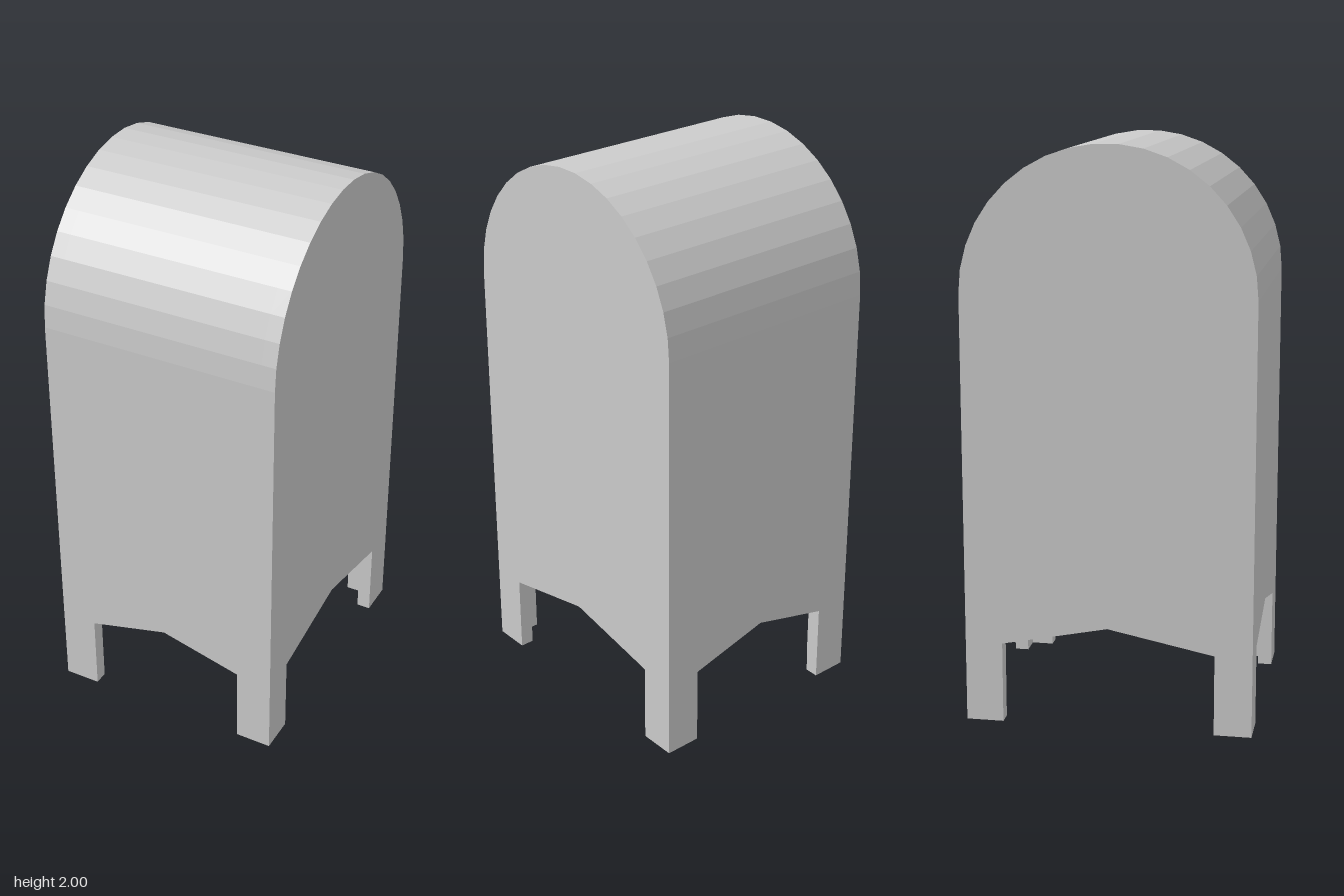
import * as THREE from 'three';

const HALF_X = 0.425, HALF_Z = 0.5, WALL = 0.05;
const SPRING = 1.502;            // height where the rounded top begins
const ARCH_SEGMENTS = 19;
const LEG = 0.13, LEG_TOP = 0.285, FLOOR = 0.36;

const material = new THREE.MeshStandardMaterial({ color: 0xcccccc, flatShading: true });

// Half-circle points from the right spring point over to the left one
function archPoints() {
  return Array.from({ length: ARCH_SEGMENTS + 1 }, (_, i) => {
    const a = (i / ARCH_SEGMENTS) * Math.PI;
    return new THREE.Vector2(HALF_Z * Math.cos(a), SPRING + HALF_Z * Math.sin(a));
  });
}

// Lower outline with two legs and a peaked cut-out, left to right
function legOutline(half, inner) {
  return [[-half, 0], [-inner, 0], [-inner, LEG_TOP], [0, FLOOR], [inner, LEG_TOP], [inner, 0], [half, 0]]
    .map(([x, y]) => new THREE.Vector2(x, y));
}

// Extrudes an outline and centres its thickness on the origin
function panel(points, depth) {
  const geometry = new THREE.ExtrudeGeometry(new THREE.Shape(points), { depth, bevelEnabled: false });
  return geometry.translate(0, 0, -depth / 2);
}

function addPart(group, name, geometry) {
  const mesh = new THREE.Mesh(geometry, material);
  mesh.name = name;
  group.add(mesh);
  return mesh;
}

export function createModel() {
  const model = new THREE.Group();
  model.name = 'roundToppedBox';
  const innerX = HALF_X - WALL;

  // Arched side panels with their legs
  const side = panel([...legOutline(HALF_Z, HALF_Z - LEG), ...archPoints()], WALL).rotateY(Math.PI / 2);
  for (const s of [1, -1]) {
    addPart(model, s > 0 ? 'leftPanel' : 'rightPanel', side).position.x = s * (HALF_X - WALL / 2);
  }

  // Front and back panels fitted between the sides
  const front = panel([
    ...legOutline(innerX, HALF_X - LEG),
    new THREE.Vector2(innerX, SPRING),
    new THREE.Vector2(-innerX, SPRING),
  ], WALL);
  for (const s of [1, -1]) {
    addPart(model, s > 0 ? 'frontPanel' : 'backPanel', front).position.z = s * (HALF_Z - WALL / 2);
  }

  // Faceted rounded top
  addPart(model, 'roundedTop', panel(archPoints(), innerX * 2).rotateY(Math.PI / 2));

  // Floor of the box, level with the peaks of the cut-outs
  const floor = new THREE.BoxGeometry(innerX * 2, WALL, (HALF_Z - WALL) * 2);
  addPart(model, 'floor', floor).position.y = FLOOR + WALL / 2;

  return model;
}
